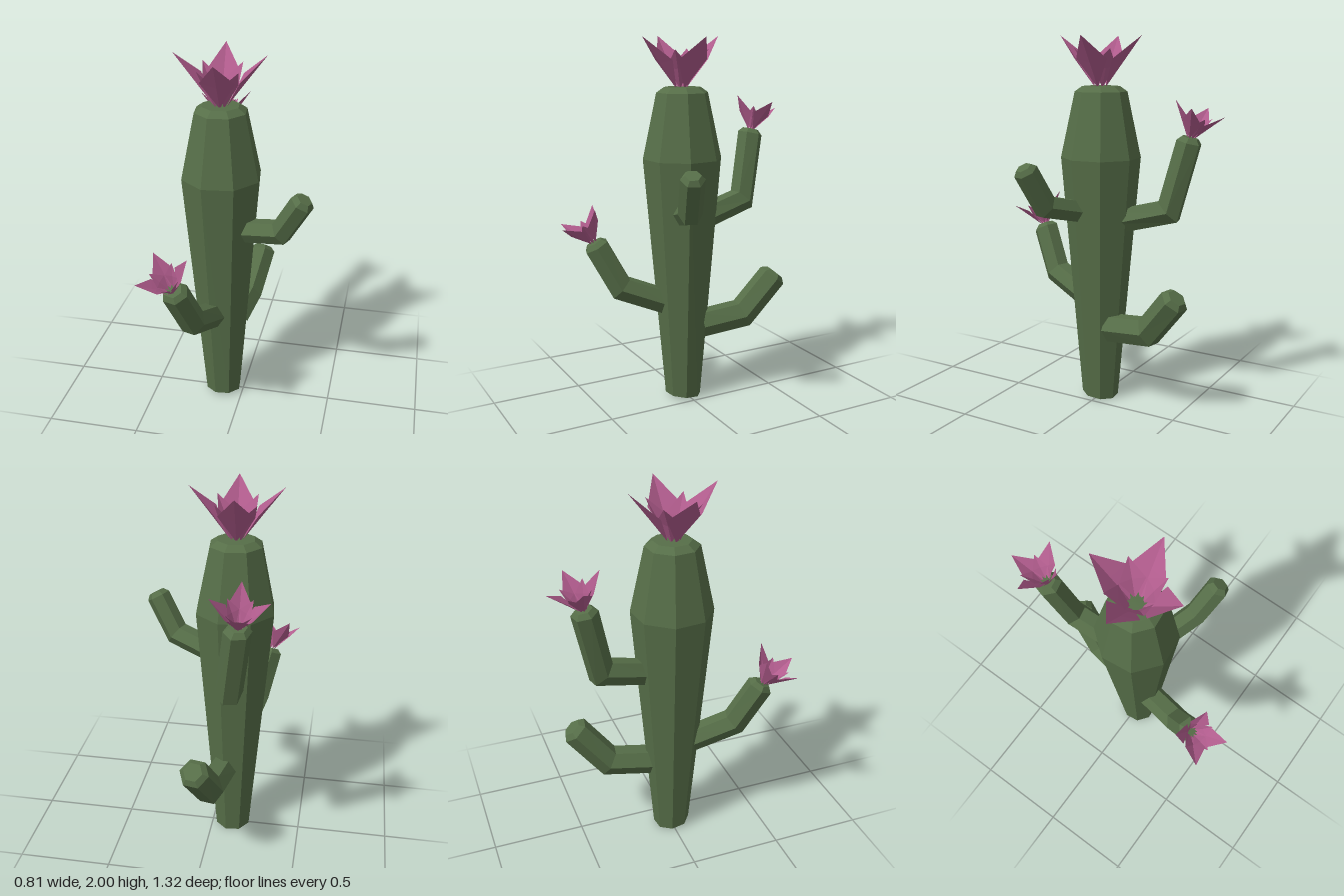
import * as THREE from 'three';

const green = new THREE.MeshStandardMaterial({ color: 0x566e48, flatShading: true });
green.name = 'cactus green';
const pink = new THREE.MeshStandardMaterial({ color: 0xb15c8d, flatShading: true, side: THREE.DoubleSide });
pink.name = 'petal pink';

const UP = new THREE.Vector3(0, 1, 0);
const vec = (p) => new THREE.Vector3(...p);

function facetedMesh(points, index, material, name) {
  const indexed = new THREE.BufferGeometry().setFromPoints(points);
  indexed.setIndex(index);
  const geometry = indexed.toNonIndexed();
  geometry.computeVertexNormals();
  const mesh = new THREE.Mesh(geometry, material);
  mesh.name = name;
  return mesh;
}

// Eight-sided trunk, widest near the top, with a slightly slanted foot
function makeTrunk() {
  const profile = [[0, 0.01], [0.1, 0.012], [0.215, 1.36], [0.14, 1.71], [0.1, 1.738], [0, 1.74]];
  const lathe = new THREE.LatheGeometry(profile.map(([r, y]) => new THREE.Vector2(r, y)), 8);
  lathe.rotateY(THREE.MathUtils.degToRad(29));
  const pos = lathe.attributes.position;
  for (let i = 0; i < pos.count; i++) {
    if (pos.getY(i) < 0.1) pos.setY(i, 0.011 + 0.11 * pos.getZ(i));
  }
  const geometry = lathe.toNonIndexed();
  geometry.computeVertexNormals();
  const mesh = new THREE.Mesh(geometry, green);
  mesh.name = 'trunk';
  mesh.position.set(-0.115, 0, 0.01);
  return mesh;
}

// Six-sided arm: root, mitred elbow, tip and a small bevelled cap
function makeArm({ name, path, radius }) {
  const [root, elbow, tip] = path.map(vec);
  const t1 = elbow.clone().sub(root).normalize();
  const t2 = tip.clone().sub(elbow).normalize();
  const mid = t1.clone().add(t2).normalize();
  const side = tip.clone().sub(root).cross(UP).normalize();
  const sides = 6;
  const rings = [
    { c: root, t: t1, r: radius, k: 1 },
    { c: elbow, t: mid, r: radius, k: 1 / mid.dot(t1) },
    { c: tip, t: t2, r: radius, k: 1 },
    { c: tip.clone().addScaledVector(t2, 0.025), t: t2, r: radius * 0.65, k: 1 },
  ];
  const points = [];
  const index = [];
  rings.forEach(({ c, t, r, k }, j) => {
    const rise = t.clone().cross(side).normalize();
    for (let i = 0; i < sides; i++) {
      const a = (i / sides) * Math.PI * 2;
      points.push(c.clone().addScaledVector(side, r * Math.cos(a)).addScaledVector(rise, r * k * Math.sin(a)));
      if (j === 0) continue;
      const next = (i + 1) % sides;
      const a0 = (j - 1) * sides + i, a1 = (j - 1) * sides + next;
      const b0 = j * sides + i, b1 = j * sides + next;
      index.push(a0, a1, b1, a0, b1, b0);
    }
  });
  // Flat end
  const last = (rings.length - 1) * sides;
  for (let i = 1; i < sides - 1; i++) index.push(last, last + i, last + i + 1);
  return facetedMesh(points, index, green, name);
}

// Pointed petal leaning towards +z, folded along its midline
function makePetal(reach, height, halfWidth, name) {
  const points = [
    [0, 0, 0.03],
    [-halfWidth, height * 0.56, reach * 0.46],
    [0, height * 0.5, reach * 0.56],
    [halfWidth, height * 0.56, reach * 0.46],
    [0, height, reach],
  ].map(vec);
  return facetedMesh(points, [0, 2, 1, 0, 3, 2, 1, 2, 4, 2, 3, 4], pink, name);
}

// Four long outer petals and four short inner ones
function makeFlower({ name, base, direction, scale, yaw }) {
  const flower = new THREE.Group();
  flower.name = name;
  for (let i = 0; i < 4; i++) {
    const angle = THREE.MathUtils.degToRad(yaw + i * 90);
    const outer = makePetal(0.235, 0.27, 0.088, 'outerPetal');
    outer.rotation.y = angle;
    const inner = makePetal(0.145, 0.205, 0.062, 'innerPetal');
    inner.rotation.y = angle + Math.PI / 4;
    flower.add(outer, inner);
  }
  flower.position.set(...base);
  flower.quaternion.setFromUnitVectors(UP, vec(direction).normalize());
  flower.scale.setScalar(scale);
  return flower;
}

export function createModel() {
  const cactus = new THREE.Group();
  cactus.name = 'cactus';
  cactus.add(makeTrunk());

  const arms = [
    { name: 'leftArm', path: [[0, 1.075, 0.06], [0.225, 1.13, 0.145], [0.335, 1.325, 0.19]], radius: 0.064 },
    { name: 'frontArm', path: [[-0.14, 0.56, 0.1], [-0.2, 0.66, 0.345], [-0.255, 0.895, 0.462]], radius: 0.072 },
    { name: 'upperBackArm', path: [[-0.11, 1.02, -0.1], [-0.145, 1.095, -0.385], [-0.195, 1.46, -0.468]], radius: 0.07 },
    { name: 'lowerBackArm', path: [[-0.07, 0.425, -0.08], [-0.035, 0.455, -0.33], [0.012, 0.665, -0.5]], radius: 0.08 },
  ];
  for (const arm of arms) cactus.add(makeArm(arm));

  const flowers = [
    { name: 'topFlower', base: [-0.115, 1.73, 0.015], direction: [0, 1, 0], scale: 1, yaw: 5 },
    { name: 'frontFlower', base: [-0.265, 0.915, 0.474], direction: [-0.055, 0.245, 0.13], scale: 0.6, yaw: 28 },
    { name: 'backFlower', base: [-0.198, 1.48, -0.474], direction: [-0.03, 0.37, -0.11], scale: 0.6, yaw: 5 },
  ];
  for (const flower of flowers) cactus.add(makeFlower(flower));
  return cactus;
}
